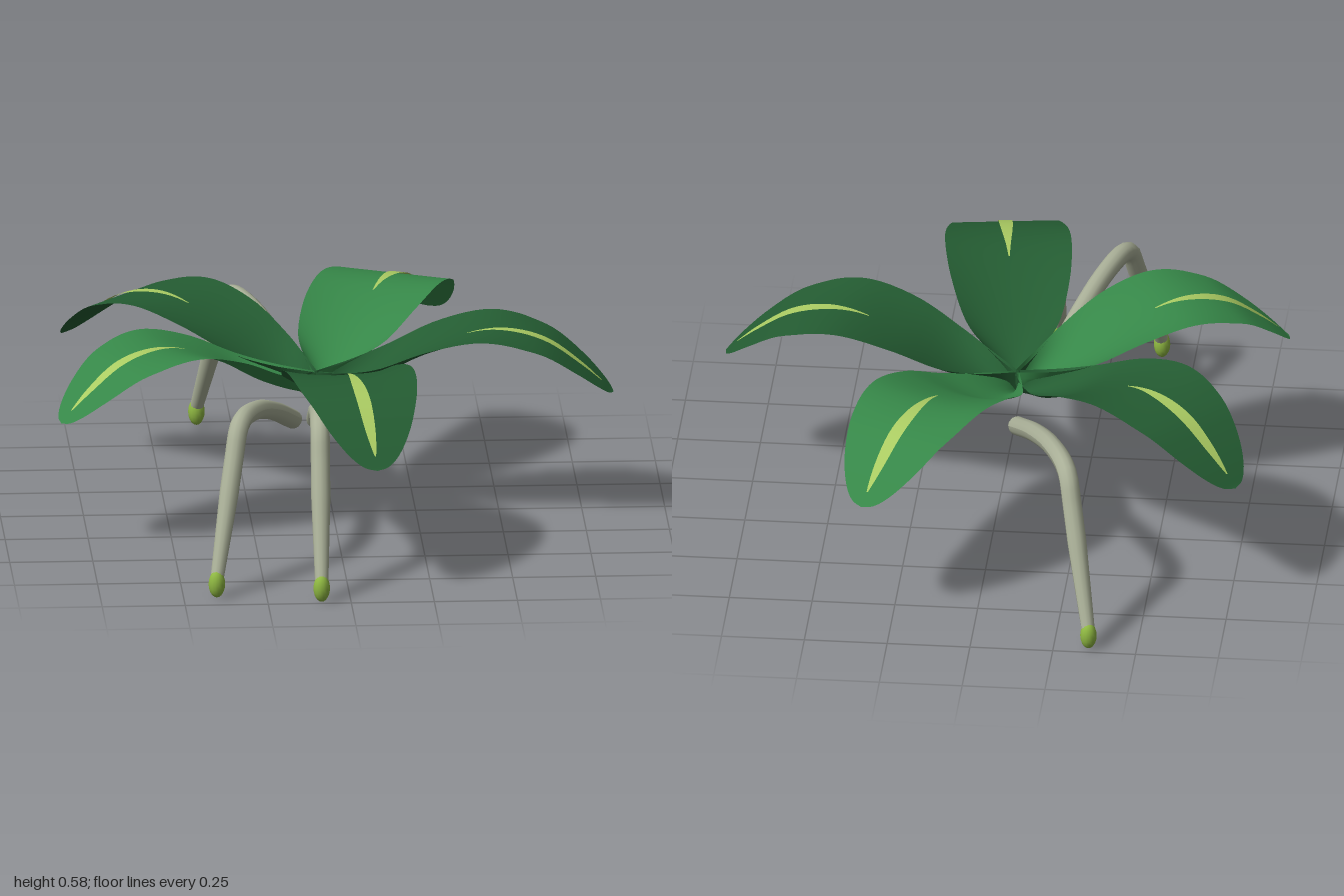
import * as THREE from 'three';

const mat = (name, color, side = THREE.FrontSide) => {
  const m = new THREE.MeshStandardMaterial({ color, side });
  m.name = name;
  return m;
};

// Leaf spine: x = distance from the crown, y = height, z = half width
const spine = new THREE.CatmullRomCurve3([
  [0, 0.36, 0.008], [0.1, 0.39, 0.08], [0.2, 0.432, 0.138], [0.35, 0.515, 0.178],
  [0.5, 0.568, 0.19], [0.6, 0.57, 0.183], [0.7, 0.542, 0.16], [0.8, 0.475, 0.118],
  [0.865, 0.42, 0.07], [0.89, 0.397, 0.035], [0.9, 0.39, 0],
].map((p) => new THREE.Vector3(...p)));

// Sheet laid on the leaf surface between t0 and t1; widthAt overrides the half width
function leafSheet(length, t0, t1, segs, across, lift, widthAt) {
  const geo = new THREE.PlaneGeometry(1, 2, segs, across).rotateX(-Math.PI / 2);
  const pos = geo.attributes.position;
  for (let i = 0; i < pos.count; i++) {
    const s = pos.getX(i) + 0.5;
    const p = spine.getPoint(t0 + (t1 - t0) * s);
    const z = pos.getZ(i) * (widthAt ? widthAt(s) : p.z);
    const u = p.z > 0.001 ? z / p.z : 0;
    // the blade is channelled at the base and flattens towards the tip
    const channel = 0.07 * Math.max(0, 1 - p.x / 0.65) * u * u;
    pos.setXYZ(i, p.x * length / 0.9, p.y + channel + lift, z);
  }
  geo.computeVertexNormals();
  return geo;
}

// Root: a tube whose radius narrows towards the tip
function rootGeometry(points) {
  const curve = new THREE.CatmullRomCurve3(points);
  const segs = 40, sides = 12;
  const geo = new THREE.TubeGeometry(curve, segs, 1, sides);
  const pos = geo.attributes.position, v = new THREE.Vector3();
  for (let i = 0; i < pos.count; i++) {
    const t = Math.floor(i / (sides + 1)) / segs;
    const c = curve.getPointAt(t);
    const r = t < 0.75 ? 0.029 : 0.029 - 0.009 * (t - 0.75) / 0.25;
    v.fromBufferAttribute(pos, i).sub(c).multiplyScalar(r).add(c);
    pos.setXYZ(i, v.x, v.y, v.z);
  }
  geo.computeVertexNormals();
  return geo;
}

export function createModel() {
  const model = new THREE.Group();
  model.name = 'rosettePlant';
  const darkLeaf = mat('dark leaf green', 0x245c32, THREE.DoubleSide);
  const lightLeaf = mat('light leaf green', 0x368748, THREE.DoubleSide);
  const stripeMat = mat('pale stripe green', 0xaacb62, THREE.DoubleSide);
  const rootMat = mat('grey root', 0xa9af97);
  const tipMat = mat('root tip green', 0x8fb842);

  const add = (parent, name, geo, material) => {
    const mesh = new THREE.Mesh(geo, material);
    mesh.name = name;
    parent.add(mesh);
    return mesh;
  };

  // Five arching leaves: heading in degrees, length, colour
  [
    [8.3, 0.9, darkLeaf], [82, 0.965, darkLeaf], [154, 0.875, lightLeaf],
    [220.5, 0.945, darkLeaf], [295, 0.925, lightLeaf],
  ].forEach(([deg, length, material], i) => {
    const leaf = new THREE.Group();
    leaf.name = 'leaf' + (i + 1);
    leaf.position.set(-0.05, 0, -0.03);
    leaf.rotation.y = -THREE.MathUtils.degToRad(deg);
    add(leaf, 'leafBlade', leafSheet(length, 0, 1, 48, 10, 0), material);
    // tapering pale stripe along the outer half of the midrib
    add(leaf, 'leafStripe', leafSheet(length, 0.37, 0.8, 20, 2, 0.005,
      (s) => 0.002 + 0.019 * Math.sin(Math.PI * s)), stripeMat);
    model.add(leaf);
  });

  // Three arching roots: start and end on the ground plan
  [
    [[-0.07, -0.21], [-0.355, -0.97]],
    [[-0.13, 0.17], [-0.4, 0.915]],
    [[-0.06, 0.17], [-0.088, 0.98]],
  ].forEach(([a, b], i) => {
    const root = new THREE.Group();
    root.name = 'root' + (i + 1);
    // fraction along the run, height
    const profile = [[0, 0.34], [0.25, 0.42], [0.48, 0.472], [0.65, 0.482],
      [0.715, 0.463], [0.77, 0.39], [0.9, 0.2], [1, 0.055]];
    const pts = profile.map(([f, y]) => new THREE.Vector3(
      a[0] + (b[0] - a[0]) * f, y, a[1] + (b[1] - a[1]) * f));
    add(root, 'rootStem', rootGeometry(pts), rootMat);
    add(root, 'rootBase', new THREE.SphereGeometry(0.029, 12, 8), rootMat).position.copy(pts[0]);
    const tip = add(root, 'rootTip', new THREE.SphereGeometry(1, 14, 10), tipMat);
    tip.scale.set(0.025, 0.042, 0.025);
    tip.position.set(b[0], 0.042, b[1]);
    model.add(root);
  });

  return model;
}
